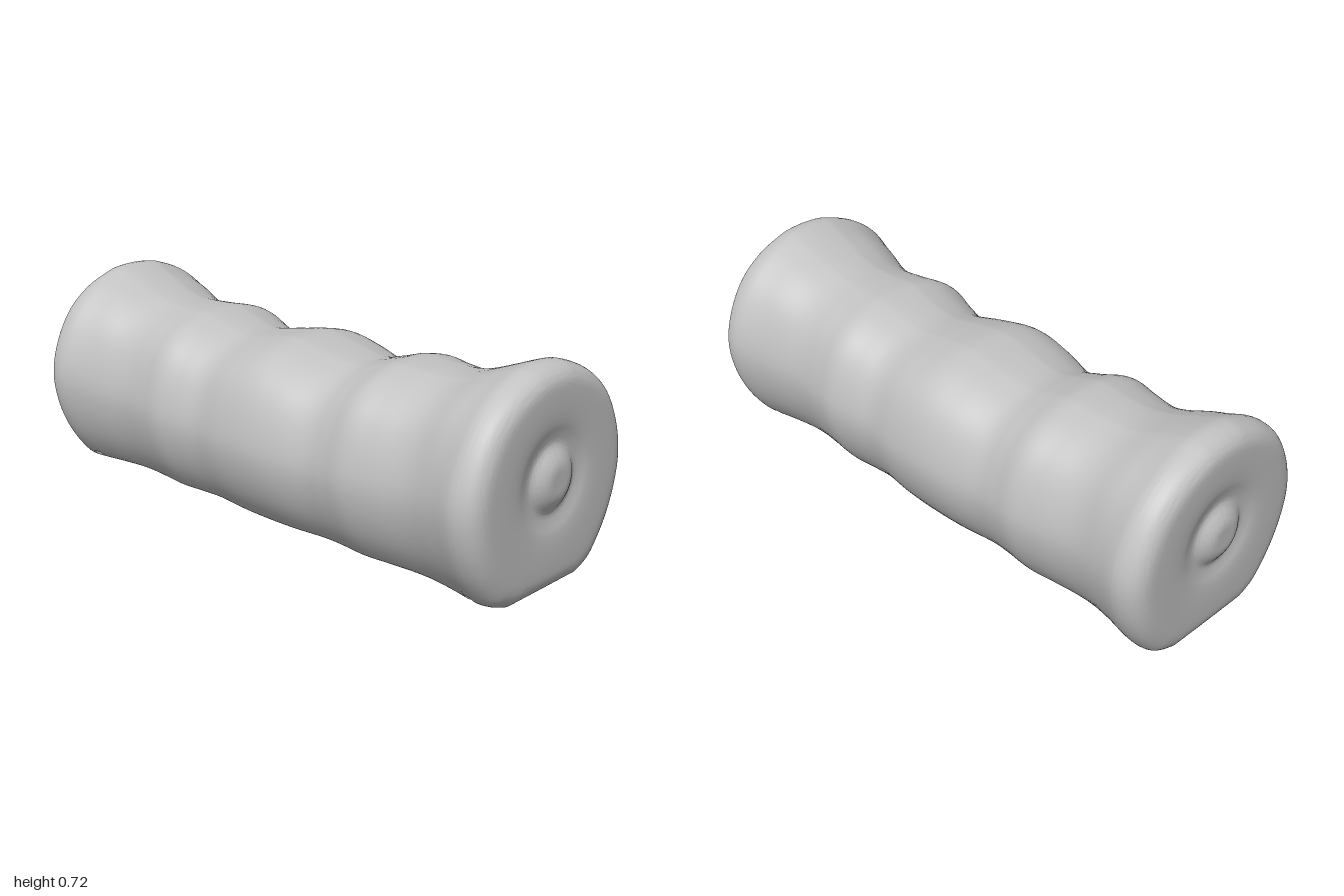
import * as THREE from 'three';
import { toCreasedNormals } from 'three/addons/utils/BufferGeometryUtils.js';

const { smoothstep } = THREE.MathUtils;
const lerp = THREE.MathUtils.lerp;
const TOP = 0.717, HALF = 0.38, CY = 0.37;
const SLOT_IN = 0.856, SLOT_OUT = 0.887, SLOT_MID = 0.87, SLOT_H = 0.048;

// Right half of the flange outline, from top centre down to the flat base
function outline() {
  const side = new THREE.SplineCurve([
    [0, TOP], [0.05, 0.714], [0.1, 0.704], [0.2, 0.662], [0.29, 0.588], [0.352, 0.48], [HALF, 0.365],
    [0.366, 0.25], [0.322, 0.14], [0.257, SLOT_H], [0.215, 0.017], [0.17, 0],
  ].map(p => new THREE.Vector2(...p))).getPoints(44);
  side[0].x = 0;
  const half = [...side, new THREE.Vector2(0.15, 0), new THREE.Vector2(0.07, 0)];
  const mirrored = half.slice(1).reverse().map(p => new THREE.Vector2(-p.x, p.y));
  return [...half, new THREE.Vector2(0, 0), ...mirrored];
}

// Grip section: scaled outline with fuller upper corners, most so on the ridges
function bodySection(base, z, h, w, slotted) {
  const bulge = (0.07 - 1.2 * Math.max(0, 0.345 - w)) * (1 - smoothstep(h, 0.635, 0.712));
  return base.map(p => {
    let x = p.x * w / HALF, y = p.y * h / TOP;
    if (p.y > CY) {
      const k = 1 + bulge * Math.sin(2 * Math.atan2(p.y - CY, p.x)) ** 2;
      x *= k;
      y = CY + (y - CY) * k;
    }
    if (slotted) y = Math.max(y, SLOT_H);
    return [x, y, z];
  });
}

// End face ring: the outline shrinks and turns round toward the central nub
function capSection(base, s, z) {
  const t = smoothstep(s, 0.4, 0.98);
  return base.map(p => {
    const a = Math.atan2(p.y - CY, p.x);
    return [
      lerp(Math.cos(a) * CY, p.x, t) * s,
      CY + lerp(Math.sin(a) * CY, p.y - CY, t) * s,
      z,
    ];
  });
}

function loft(sections) {
  const n = sections[0].length, index = [];
  for (let i = 0; i < sections.length - 1; i++) {
    for (let j = 0; j < n; j++) {
      const a = i * n + j, b = i * n + (j + 1) % n;
      index.push(a, a + n, b, b, a + n, b + n);
    }
  }
  const geo = new THREE.BufferGeometry();
  geo.setAttribute('position', new THREE.Float32BufferAttribute(sections.flat(2), 3));
  geo.setIndex(index);
  return toCreasedNormals(geo, 0.8);
}

export function createModel() {
  const group = new THREE.Group();
  group.name = 'handGrip';
  const grey = new THREE.MeshStandardMaterial({ color: 0xc2c2c2 });
  grey.name = 'grey';
  const base = outline();

  // Grip stations: z, top height, half width
  const half = [
    [0, 0.624, 0.346], [0.12, 0.606, 0.338], [0.25, 0.586, 0.314], [0.34, 0.605, 0.322],
    [0.43, 0.63, 0.337], [0.52, 0.628, 0.324], [0.62, 0.627, 0.311], [0.7, 0.642, 0.316],
    [0.79, 0.676, 0.342], [SLOT_IN, 0.703, 0.368], [SLOT_OUT, 0.714, 0.378], [0.908, TOP, HALF],
  ];
  const stations = [...half.slice(1).reverse().map(([z, h, w]) => [-z, h, w]), ...half];
  const samples = new THREE.CatmullRomCurve3(stations.map(p => new THREE.Vector3(...p)));
  // 'catmullrom' spacing keeps every station on a sample
  samples.curveType = 'catmullrom';
  const steps = (stations.length - 1) * 6;
  const body = [];
  for (let i = 0; i <= steps; i++) {
    const { x: z, y: h, z: w } = samples.getPoint(i / steps);
    const d = Math.abs(z), e = 1e-6;
    const onEdge = Math.abs(d - SLOT_IN) < e || Math.abs(d - SLOT_OUT) < e;
    const inside = d > SLOT_IN && d < SLOT_OUT;
    // Slot walls come from two sections at the same z, one cut and one whole
    const entering = z < 0 ? d > SLOT_MID : d < SLOT_MID;
    const cuts = onEdge ? [!entering, entering] : [inside];
    for (const cut of cuts) body.push(bodySection(base, z, h, w, cut));
  }

  // Rounded rim, shallow ring dish and nub: outline scale, z
  const rim = new THREE.SplineCurve([
    [1, 0.908], [0.99, 0.932], [0.967, 0.953], [0.925, 0.97], [0.865, 0.981], [0.78, 0.985],
    [0.6, 0.985], [0.47, 0.981], [0.38, 0.973], [0.31, 0.969], [0.265, 0.974], [0.22, 0.985],
    [0.16, 0.996], [0.1, 1], [0, 1],
  ].map(p => new THREE.Vector2(...p))).getPoints(56).slice(1);
  const front = rim.map(p => capSection(base, Math.max(0, p.x), Math.min(1, p.y)));
  const back = front.map(ring => ring.map(([x, y, z]) => [x, y, -z])).reverse();

  const grip = new THREE.Mesh(loft([...back, ...body, ...front]), grey);
  grip.name = 'gripBody';
  group.add(grip);
  return group;
}
